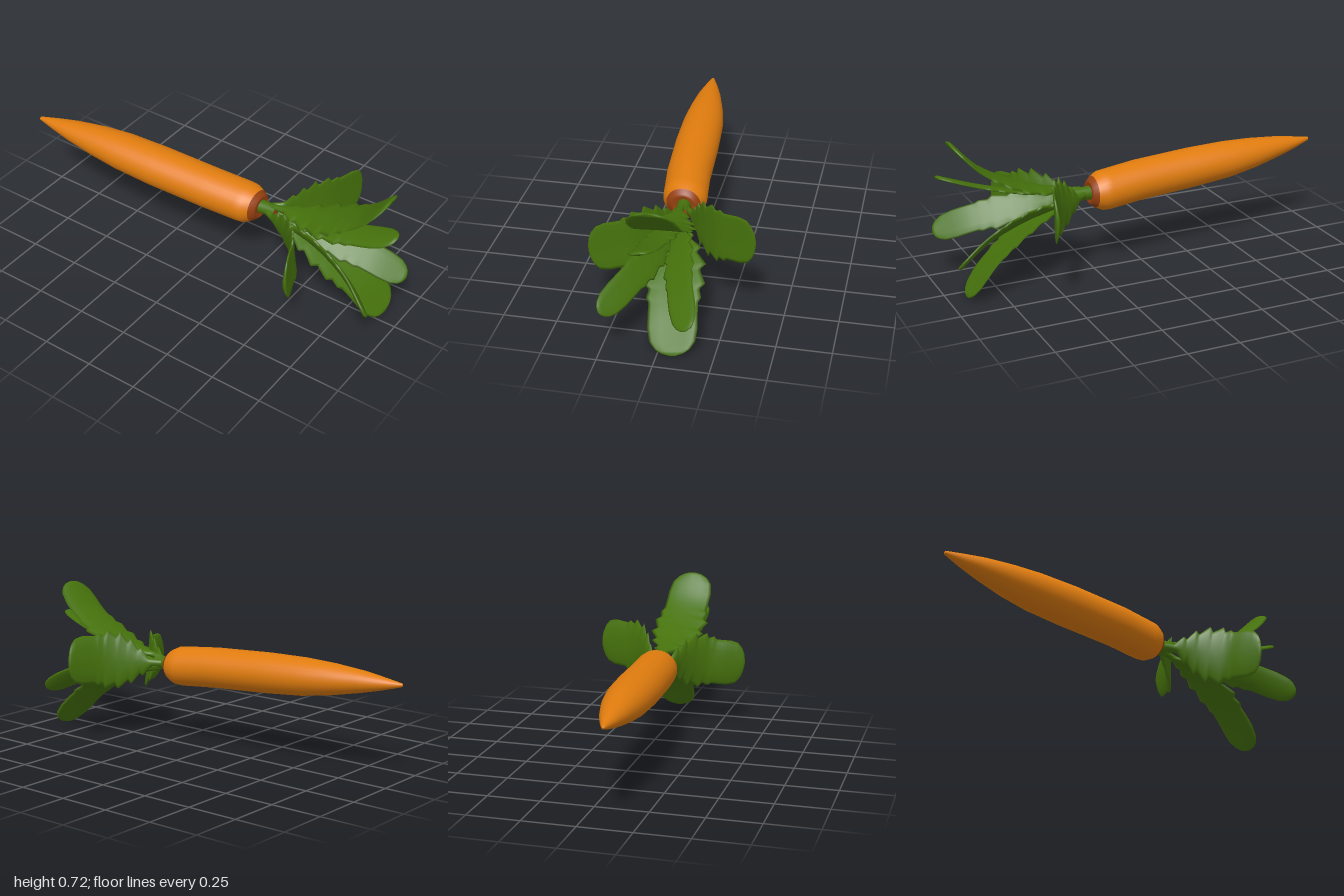
import * as THREE from 'three';

const V = (x, y, z) => new THREE.Vector3(x, y, z);

// Skin a list of closed loops of points; smooth normals all round
function loft(loops) {
  const n = loops[0].length, pos = [], idx = [];
  for (const loop of loops) for (const p of loop) pos.push(p.x, p.y, p.z);
  for (let i = 0; i < loops.length - 1; i++) {
    for (let j = 0; j < n; j++) {
      const k = (j + 1) % n, a = i * n + j, b = i * n + k;
      idx.push(a, b, a + n, b, b + n, a + n);
    }
  }
  const g = new THREE.BufferGeometry();
  g.setAttribute('position', new THREE.Float32BufferAttribute(pos, 3));
  g.setIndex(idx);
  g.computeVertexNormals();
  return g;
}

// Oval loops along x; each section is [x, centreY, centreZ, radiusY, radiusZ]
function ovals(sections, n = 28) {
  return loft(sections.map(([x, y, z, ry, rz]) =>
    Array.from({ length: n }, (_, j) => {
      const a = (j / n) * Math.PI * 2;
      return V(x, y + ry * Math.cos(a), z + rz * Math.sin(a));
    })));
}

// Relative half width of a leaf: narrow stalk, saw teeth, blunt tip
const OUTLINE = [[0, 0.11], [0.13, 0.13], [0.22, 0.5], [0.245, 0.4], [0.33, 0.82], [0.355, 0.66],
  [0.45, 1.02], [0.48, 0.82], [0.575, 1.04], [0.605, 0.85], [0.66, 0.93], [0.69, 0.83],
  [0.84, 0.84], [0.92, 0.76], [0.965, 0.57], [0.99, 0.34], [1, 0.1]];
function halfWidth(t) {
  let i = 1;
  while (i < OUTLINE.length - 1 && OUTLINE[i][0] < t) i++;
  const [t0, w0] = OUTLINE[i - 1], [t1, w1] = OUTLINE[i];
  return w0 + (w1 - w0) * Math.min(1, (t - t0) / (t1 - t0));
}

// Thin, slightly cupped leaf that follows a curve away from the stem
function leafGeometry(points, width) {
  const curve = new THREE.CatmullRomCurve3(points.map(p => V(...p)));
  const tip = points[points.length - 1];
  const across = V(0, 0.01 - tip[2], tip[1] - 0.385).normalize();
  const steps = 80, n = 12, loops = [];
  for (let i = 0; i <= steps; i++) {
    const t = i / steps, c = curve.getPointAt(t), d = curve.getTangentAt(t);
    const s = across.clone().addScaledVector(d, -across.dot(d)).normalize();
    const inward = d.clone().cross(s);
    const thick = (0.014 - 0.005 * t) * (t === 1 ? 0.1 : 1);
    const loop = [];
    for (let j = 0; j < n; j++) {
      const a = (j / n) * Math.PI * 2, ca = Math.cos(a);
      const w = width * halfWidth(t + (ca < 0 ? 0.035 * (1 - t) : 0));
      loop.push(c.clone().addScaledVector(s, w * ca)
        .addScaledVector(inward, thick * Math.sin(a) + 0.08 * w * ca * ca));
    }
    loops.push(loop);
  }
  // close the tip
  loops.push(loops[steps].map(() => curve.getPointAt(1)));
  return loft(loops);
}

export function createModel() {
  const group = new THREE.Group();
  const material = (name, color) => {
    const m = new THREE.MeshStandardMaterial({ color });
    m.name = name;
    return m;
  };
  const orange = material('orange', 0xe07c0e);
  const brown = material('reddish brown', 0x96400f);
  const green = material('leaf green', 0x46720c);
  const add = (name, geometry, mat) => {
    const mesh = new THREE.Mesh(geometry, mat);
    mesh.name = name;
    group.add(mesh);
  };

  // Tapered root, slightly bent
  add('root', ovals([
    [-1, 0.445, 0.122, 0, 0], [-0.995, 0.445, 0.121, 0.009, 0.009],
    [-0.9, 0.44, 0.111, 0.031, 0.036], [-0.8, 0.436, 0.102, 0.051, 0.06],
    [-0.65, 0.428, 0.088, 0.074, 0.086], [-0.5, 0.42, 0.077, 0.089, 0.102],
    [-0.3, 0.411, 0.066, 0.096, 0.108], [0, 0.397, 0.047, 0.097, 0.106],
    [0.17, 0.384, 0.026, 0.096, 0.105], [0.205, 0.383, 0.024, 0.093, 0.101],
    [0.24, 0.383, 0.021, 0.076, 0.082]]), orange);

  // Dished crown at the top of the root
  add('crown', ovals([
    [0.24, 0.383, 0.021, 0.076, 0.082], [0.262, 0.383, 0.018, 0.058, 0.062],
    [0.266, 0.383, 0.017, 0.048, 0.05], [0.252, 0.383, 0.016, 0, 0]]), brown);

  // Short stem with a bare cut end between the leaves
  add('stem', ovals([
    [0.245, 0.384, 0.014, 0.034, 0.034], [0.3, 0.386, 0.012, 0.031, 0.031],
    [0.345, 0.387, 0.012, 0.031, 0.031]], 16), green);
  add('stemEnd', ovals([[0.345, 0.387, 0.012, 0.031, 0.031], [0.349, 0.387, 0.012, 0, 0]], 16), brown);

  // Four large leaves and three small ones between them
  const leaves = [
    ['upperLeaf', 0.135, [[0.3, 0.403, 0.012], [0.57, 0.463, 0.017], [0.8, 0.582, 0.02], [0.94, 0.724, 0.025]]],
    ['backLeaf', 0.142, [[0.3, 0.387, -0.012], [0.44, 0.395, -0.115], [0.51, 0.405, -0.197], [0.55, 0.412, -0.293], [0.575, 0.415, -0.374]]],
    ['frontLeaf', 0.142, [[0.3, 0.384, 0.03], [0.46, 0.365, 0.105], [0.55, 0.345, 0.19], [0.585, 0.333, 0.277], [0.625, 0.325, 0.374]]],
    ['lowerLeaf', 0.138, [[0.3, 0.368, 0.01], [0.57, 0.288, -0.02], [0.77, 0.155, -0.045], [0.91, 0.003, -0.07]]],
    ['smallUpperLeaf', 0.083, [[0.31, 0.407, 0.016], [0.58, 0.435, 0.03], [0.8, 0.49, 0.045], [0.998, 0.562, 0.052]]],
    ['smallFrontLeaf', 0.08, [[0.31, 0.376, 0.03], [0.58, 0.35, 0.065], [0.8, 0.3, 0.14], [0.97, 0.225, 0.238]]],
    ['smallBackLeaf', 0.085, [[0.31, 0.372, -0.003], [0.58, 0.335, -0.035], [0.8, 0.268, -0.085], [0.965, 0.182, -0.145]]],
  ];
  for (const [name, width, points] of leaves) add(name, leafGeometry(points, width), green);

  return group;
}
